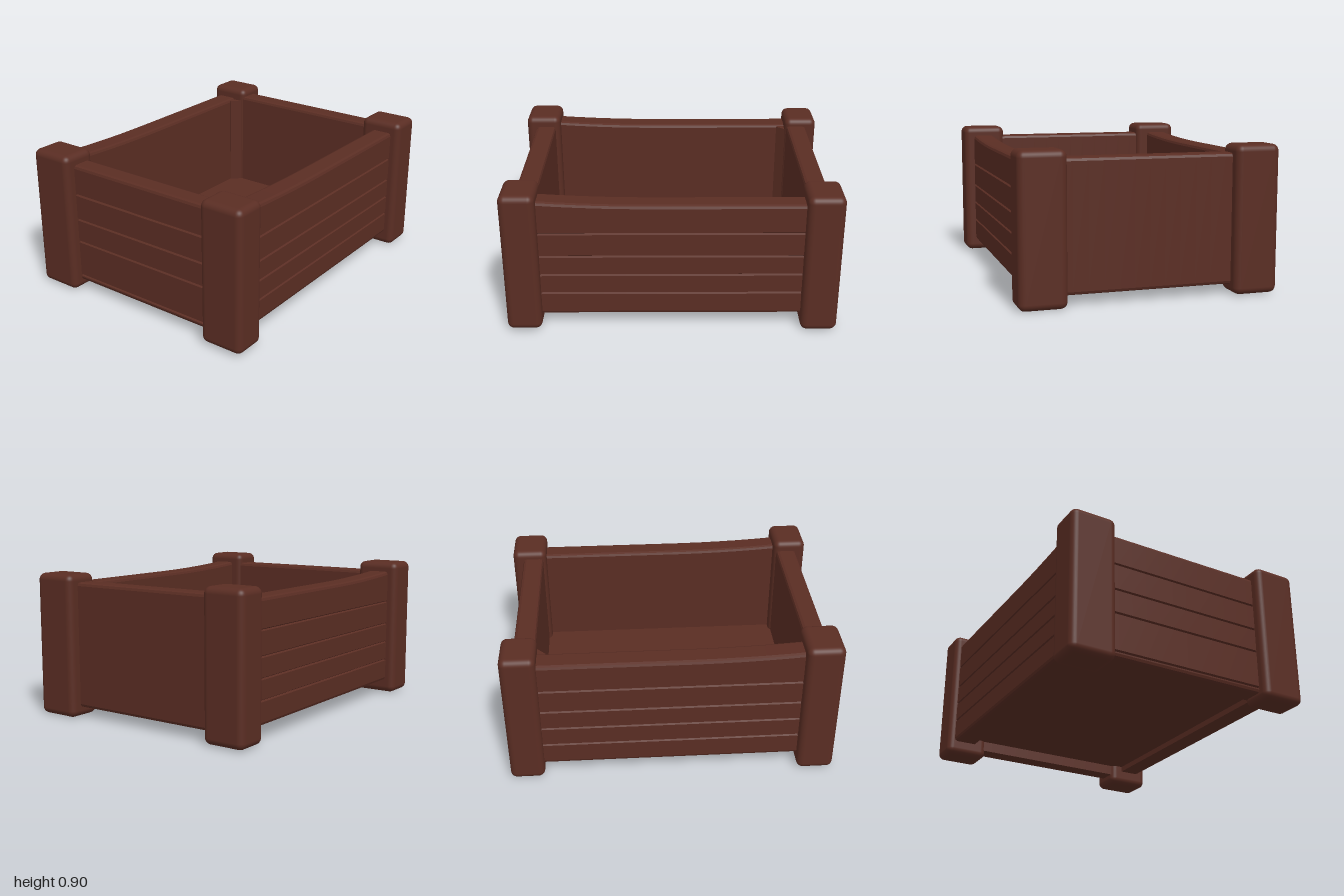
import * as THREE from 'three';
import { RoundedBoxGeometry } from 'three/addons/geometries/RoundedBoxGeometry.js';

const wood = new THREE.MeshStandardMaterial({ color: 0x5a2d23 });
wood.name = 'dark brown wood';

function part(name, geometry, x = 0, y = 0, z = 0) {
  const mesh = new THREE.Mesh(geometry, wood);
  mesh.name = name;
  mesh.position.set(x, y, z);
  return mesh;
}

// Rounded box given by its lower and upper corners
function block(name, [x0, y0, z0], [x1, y1, z1], radius) {
  const geometry = new RoundedBoxGeometry(x1 - x0, y1 - y0, z1 - z0, 4, radius);
  return part(name, geometry, (x0 + x1) / 2, (y0 + y1) / 2, (z0 + z1) / 2);
}

// Wall profile with softened edges and plank grooves on its outer side, run along z
function wallGeometry(inner, outer, bottom, top, length, grooves) {
  const r = 0.02, c = 0.006, half = 0.007, depth = 0.012;
  const s = new THREE.Shape();
  s.moveTo(inner, bottom);
  s.lineTo(outer - r, bottom);
  s.lineTo(outer - c, bottom + c);
  s.lineTo(outer, bottom + r);
  for (const y of grooves) {
    s.lineTo(outer, y - half);
    s.lineTo(outer - depth, y);
    s.lineTo(outer, y + half);
  }
  s.lineTo(outer, top - r);
  s.lineTo(outer - c, top - c);
  s.lineTo(outer - r, top);
  s.lineTo(inner + r, top);
  s.lineTo(inner + c, top - c);
  s.lineTo(inner, top - r);
  s.closePath();
  const geometry = new THREE.ExtrudeGeometry(s, { depth: length, steps: 12, bevelEnabled: false });
  return geometry.translate(0, 0, -length / 2);
}

// Raise the top edge gently towards the front
function raiseFront(geometry) {
  const p = geometry.attributes.position;
  for (let i = 0; i < p.count; i++) {
    const t = Math.max(0, p.getZ(i) - 0.1) / 0.7;
    if (p.getY(i) > 0.7) p.setY(i, p.getY(i) + 0.025 * t * t);
  }
  geometry.computeVertexNormals();
  return geometry;
}

export function createModel() {
  const crate = new THREE.Group();
  crate.name = 'crate';

  // Corner posts
  const posts = [
    ['frontRightPost', [-0.79, 0.005, 0.77], [-0.505, 0.9, 0.995]],
    ['frontLeftPost', [0.505, 0.015, 0.785], [0.785, 0.9, 0.995]],
    ['backRightPost', [-0.77, 0.005, -1], [-0.5, 0.885, -0.79]],
    ['backLeftPost', [0.5, 0, -1], [0.78, 0.885, -0.78]],
  ];
  for (const [name, low, high] of posts) crate.add(block(name, low, high, 0.04));

  // Long plank walls
  const sideGrooves = [0.235, 0.36, 0.485, 0.635];
  const left = raiseFront(wallGeometry(0.58, 0.72, 0.09, 0.815, 1.64, sideGrooves));
  crate.add(part('leftWall', left));
  const right = wallGeometry(0.585, 0.73, 0.09, 0.815, 1.64, sideGrooves).rotateY(Math.PI);
  crate.add(part('rightWall', raiseFront(right)));

  // Short walls: planks in front, a plain board behind
  const front = wallGeometry(0.8, 0.93, 0.06, 0.835, 1.1, [0.095, 0.33, 0.48, 0.645]);
  crate.add(part('frontWall', front.rotateY(-Math.PI / 2)));
  const back = wallGeometry(0.8, 0.93, 0.06, 0.835, 1.1, []);
  crate.add(part('backWall', back.rotateY(Math.PI / 2)));

  // Floor, set a little above the lower wall edges
  crate.add(part('floor', new THREE.BoxGeometry(1.2, 0.06, 1.64), 0, 0.155, 0));

  // Narrow batten in the back inner corner
  const batten = part('cornerBatten', new THREE.BoxGeometry(0.08, 0.63, 0.08), -0.58, 0.49, -0.795);
  batten.rotation.y = Math.PI / 4;
  crate.add(batten);

  return crate;
}
